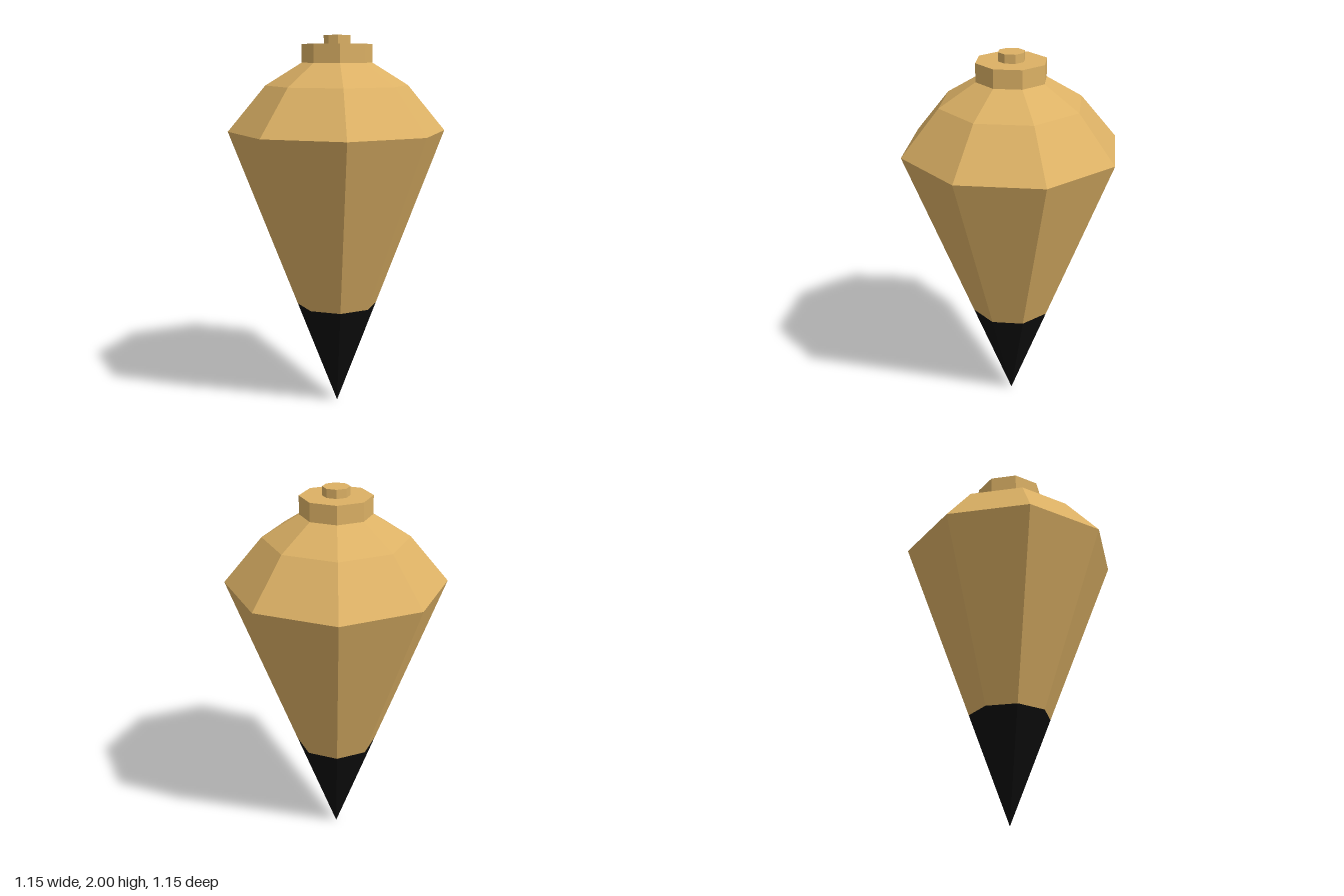
import * as THREE from 'three';

const SIDES = 8;

export function createModel() {
  const model = new THREE.Group();
  model.name = 'spinningTop';

  const wood = new THREE.MeshStandardMaterial({ color: 0xdcb165, flatShading: true });
  wood.name = 'wood';
  const black = new THREE.MeshStandardMaterial({ color: 0x0e0e0e, flatShading: true });
  black.name = 'black';

  // One octagonal band between two heights, with corners on the x and z axes
  function band(name, material, y0, r0, y1, r1, open) {
    const geometry = new THREE.CylinderGeometry(r1, r0, y1 - y0, SIDES, 1, open);
    const mesh = new THREE.Mesh(geometry, material);
    mesh.name = name;
    mesh.position.y = (y0 + y1) / 2;
    model.add(mesh);
  }

  // Pointed tip and tapering body
  band('tip', black, 0, 0, 0.565, 0.215, true);
  band('body', wood, 0.565, 0.215, 1.505, 0.573, true);

  // Sloping shoulders
  band('lowerShoulder', wood, 1.505, 0.573, 1.743, 0.374, true);
  band('upperShoulder', wood, 1.743, 0.374, 1.86, 0.184, true);

  // Collar and small knob on top
  band('collar', wood, 1.86, 0.184, 1.955, 0.184, false);
  band('knob', wood, 1.955, 0.069, 2, 0.069, false);

  return model;
}
